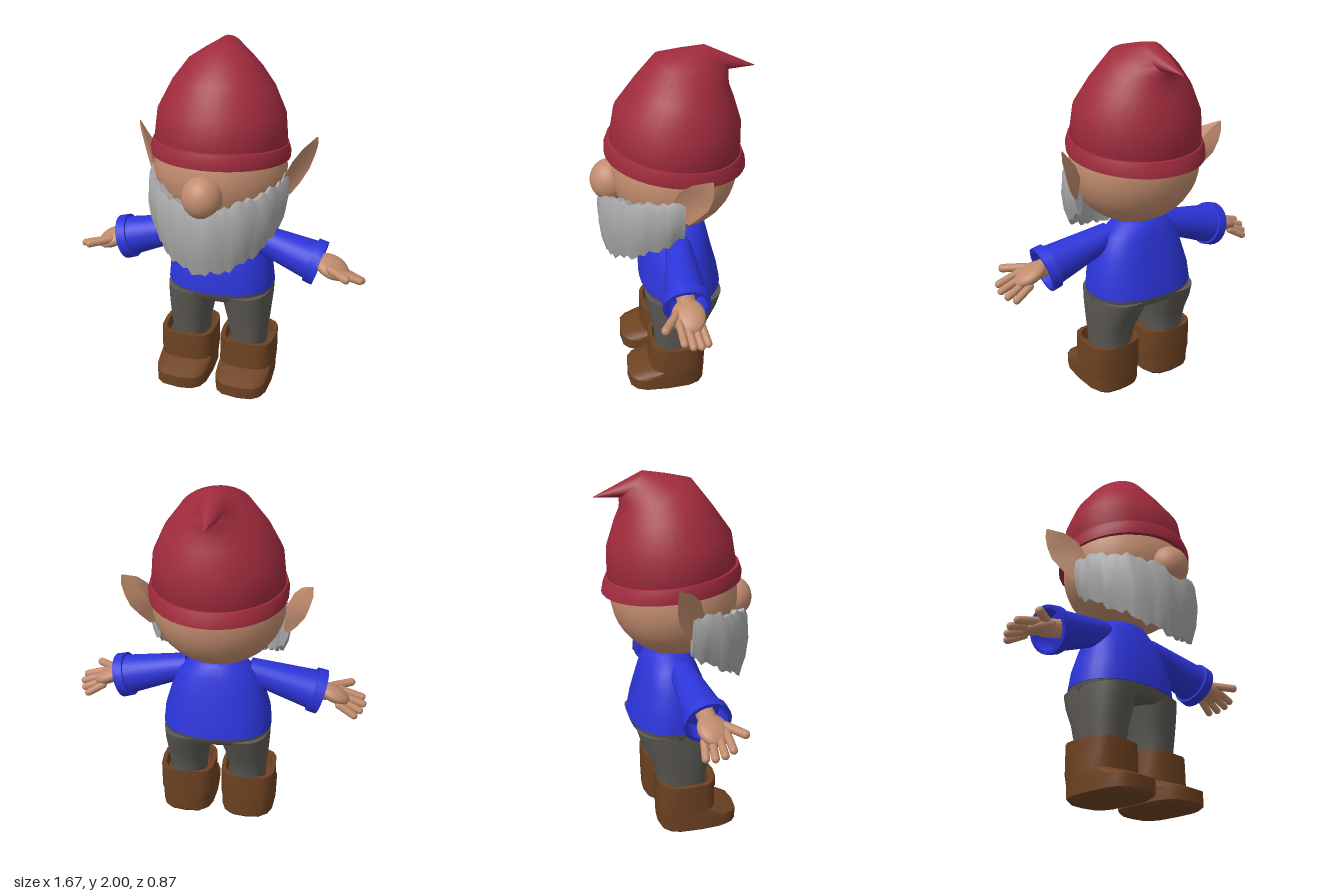
import * as THREE from 'three';
import { toCreasedNormals } from 'three/addons/utils/BufferGeometryUtils.js';

const V = (x, y, z) => new THREE.Vector3(x, y, z);
const mat = (name, color) => {
  const m = new THREE.MeshStandardMaterial({ color });
  m.name = name;
  return m;
};

// Oval ring between a front point and a back point; p < 1 makes it squarer
function ring(w, zf, yf, zb, yb, cx = 0, p = 1, n = 36) {
  const pts = [];
  const pow = (v) => Math.sign(v) * Math.pow(Math.abs(v), p);
  for (let i = 0; i < n; i++) {
    const a = (i / n) * Math.PI * 2;
    const s = pow(Math.sin(a)), k = (1 + pow(Math.cos(a))) / 2;
    pts.push(V(cx + s * w, yb + (yf - yb) * k, zb + (zf - zb) * k));
  }
  return pts;
}
const flat = (y, w, zf, zb, cx, p, n) => ring(w, zf, y, zb, y, cx, p, n);

// Skin a list of equal-length rings, capped at both ends; side -1 mirrors in x
function loft(rings, side = 1, crease = 0.75) {
  if (side < 0) rings = rings.map((r) => r.map((p) => V(-p.x, p.y, p.z)).reverse());
  const n = rings[0].length, last = (rings.length - 1) * n;
  const pts = rings.flat(), idx = [];
  for (let i = 0; i < rings.length - 1; i++) {
    for (let j = 0; j < n; j++) {
      const a = i * n + j, b = i * n + ((j + 1) % n);
      idx.push(a, b, b + n, a, b + n, a + n);
    }
  }
  const mid = (r) => r.reduce((s, p) => s.add(p), V(0, 0, 0)).divideScalar(n);
  const c = pts.length;
  const all = [...pts, mid(rings[0]), mid(rings[rings.length - 1])];
  for (let j = 0; j < n; j++) {
    const k = (j + 1) % n;
    idx.push(c, k, j, c + 1, last + j, last + k);
  }
  const g = new THREE.BufferGeometry().setFromPoints(all);
  g.setIndex(idx);
  return toCreasedNormals(g, crease);
}

export function createModel() {
  const red = mat('hatRed', 0xa02b3d);
  const skin = mat('skin', 0xc18c6e);
  const grey = mat('beardGrey', 0xa9a9a9);
  const blue = mat('shirtBlue', 0x2c34d8);
  const cloth = mat('trouserGrey', 0x5b5853);
  const leather = mat('bootBrown', 0x6d4221);

  const model = new THREE.Group();
  model.name = 'gnome';
  const body = new THREE.Group();
  body.name = 'body';
  body.position.x = -0.012;
  model.add(body);

  const add = (name, geo, m, parent = body) => {
    const mesh = new THREE.Mesh(geo, m);
    mesh.name = name;
    parent.add(mesh);
    return mesh;
  };
  const ball = (name, m, pos, rx, ry, rz, parent = body) => {
    const mesh = add(name, new THREE.SphereGeometry(1, 32, 20), m, parent);
    mesh.position.copy(pos);
    mesh.scale.set(rx, ry, rz);
    return mesh;
  };

  // Head and nose
  ball('head', skin, V(0, 1.335, -0.01), 0.365, 0.335, 0.345);
  ball('nose', skin, V(0, 1.28, 0.33), 0.107, 0.115, 0.108);

  // Hat: tilted rings that lean back into a folded tip
  add('hat', loft([
    ring(0.34, 0.31, 1.47, -0.35, 1.4),
    ring(0.36, 0.325, 1.515, -0.37, 1.44),
    ring(0.343, 0.296, 1.676, -0.368, 1.6),
    ring(0.275, 0.19, 1.82, -0.325, 1.735),
    ring(0.195, 0.085, 1.95, -0.3, 1.8),
    ring(0.135, -0.04, 1.978, -0.297, 1.835),
    ring(0.06, -0.17, 2.0, -0.3, 1.868),
    ring(0.002, -0.435, 1.877, -0.434, 1.874),
  ], 1, 1.0), red);
  add('hatBrim', loft([
    ring(0.33, 0.31, 1.46, -0.35, 1.385),
    ring(0.345, 0.325, 1.44, -0.37, 1.36),
    ring(0.376, 0.355, 1.437, -0.402, 1.357),
    ring(0.378, 0.355, 1.48, -0.395, 1.395),
    ring(0.367, 0.34, 1.52, -0.378, 1.435),
    ring(0.35, 0.315, 1.522, -0.365, 1.44),
  ]), red);

  // Beard: thick band around the jaw with ragged edges
  const strands = [];
  const steps = 44;
  for (let i = 0; i <= steps; i++) {
    const u = (i / steps) * 2 - 1, au = Math.abs(u), a = u * 1.6;
    const rag = 0.012 * Math.sin(i * 2.4) + 0.008 * Math.sin(i * 5.3);
    const top = 1.21 + 0.12 * Math.pow(au, 0.8) + rag;
    const low = 0.845 + 0.25 * Math.pow(au, 1.5) + 1.1 * rag;
    const wave = 1 + 0.012 * Math.sin(i * 1.1);
    const at = (k, t) => V(0.39 * k * Math.sin(a), low + (top - low) * t, 0.405 * k * Math.cos(a));
    strands.push([at(0.94, 1), at(0.985, 0.88), at(wave, 0.55), at(0.97 * wave, 0.25),
      at(0.91, 0), at(0.86, 0.02), at(0.84, 0.5), at(0.84, 0.97)]);
  }
  add('beard', loft(strands, 1, 0.9), grey);

  // Shirt torso
  add('shirt', loft([
    flat(0.62, 0.308, 0.185, -0.275, 0, 0.85),
    flat(0.72, 0.298, 0.175, -0.255, 0, 0.85),
    flat(0.84, 0.262, 0.145, -0.222, 0, 0.85),
    flat(0.95, 0.215, 0.1, -0.195, 0, 0.9),
    flat(1.02, 0.15, 0.07, -0.165),
    flat(1.04, 0.1, 0.04, -0.12),
  ]), blue);

  // Hips
  add('hips', loft([
    flat(0.55, 0.27, 0.14, -0.22, 0, 0.85),
    flat(0.58, 0.302, 0.172, -0.262, 0, 0.85),
    flat(0.63, 0.305, 0.18, -0.27, 0, 0.85),
  ], 1, 1.2), cloth);

  for (const s of [1, -1]) {
    const side = s > 0 ? 'left' : 'right';

    // Trouser leg
    add(side + 'Leg', loft([
      flat(0.2, 0.1, 0.12, -0.15, 0.177, 0.8),
      flat(0.32, 0.108, 0.127, -0.158, 0.177, 0.8),
      flat(0.42, 0.122, 0.142, -0.185, 0.172, 0.8),
      flat(0.52, 0.138, 0.16, -0.235, 0.163, 0.8),
      flat(0.6, 0.15, 0.172, -0.262, 0.152, 0.8),
    ], s, 1.2), cloth);

    // Boot: low toe, upright shaft and open top
    const b = (y, w, zf, zb) => flat(y, w, zf, zb, 0.18, 0.6, 16);
    add(side + 'Boot', loft([
      b(0, 0.135, 0.27, -0.14), b(0.02, 0.158, 0.293, -0.157),
      b(0.09, 0.16, 0.293, -0.16), b(0.12, 0.16, 0.22, -0.16),
      b(0.138, 0.16, 0.165, -0.16), b(0.3, 0.16, 0.16, -0.16),
      b(0.3, 0.135, 0.138, -0.142), b(0.23, 0.13, 0.13, -0.14),
    ], s, 0.6), leather);

    // Ear: cupped leaf from lobe to tip (front edge, back edge, dent)
    const ear = [
      [V(0.35, 1.19, 0.0), V(0.385, 1.19, -0.03), 0.003],
      [V(0.35, 1.25, 0.035), V(0.43, 1.25, -0.065), 0.02],
      [V(0.365, 1.32, 0.052), V(0.47, 1.32, -0.108), 0.035],
      [V(0.4, 1.4, 0.025), V(0.493, 1.39, -0.124), 0.03],
      [V(0.445, 1.46, -0.03), V(0.508, 1.45, -0.126), 0.015],
      [V(0.502, 1.503, -0.115), V(0.508, 1.5, -0.122), 0.001],
    ].map(([f, e, d]) => {
      const m = f.clone().lerp(e, 0.5);
      return [f, V(m.x - d * 0.6, m.y, m.z - d * 0.3), e, V(m.x - d * 1.4, m.y, m.z - d * 0.9)];
    });
    add(side + 'Ear', loft(ear, s), skin);

    // Sleeve with a turned, hollow cuff
    const arm = new THREE.Group();
    arm.name = side + 'Arm';
    body.add(arm);
    const from = V(0.17 * s, 0.935, -0.01), to = V(0.578 * s, 0.817, 0.013);
    const len = from.distanceTo(to);
    const dir = to.clone().sub(from).normalize();
    const c = (y, r) => flat(y, r, r, -r, 0, 1, 24);
    const sleeve = add(side + 'Sleeve', loft([
      c(0, 0.07), c(len - 0.055, 0.112), c(len - 0.055, 0.126), c(len, 0.128),
      c(len, 0.108), c(len - 0.1, 0.1),
    ]), blue, arm);
    sleeve.position.copy(from);
    sleeve.quaternion.setFromUnitVectors(V(0, 1, 0), dir);

    // Hand: flat palm, wrist, four fingers and a thumb
    const limb = (name, p, q, r) => {
      const a = V(p[0] * s, p[1], p[2]), e = V(q[0] * s, q[1], q[2]);
      const d = a.distanceTo(e);
      const m = add(name, new THREE.CapsuleGeometry(r, d - r, 5, 12), skin, arm);
      m.position.copy(a).lerp(e, 0.5);
      m.quaternion.setFromUnitVectors(V(0, 1, 0), e.sub(a).normalize());
    };
    const palm = ball(side + 'Palm', skin, V(0.645 * s, 0.81, 0.02), 0.1, 0.045, 0.088, arm);
    palm.rotation.set(0.2, 0, -0.42 * s);
    limb(side + 'Wrist', [0.47, 0.855, 0.013], [0.62, 0.815, 0.015], 0.05);
    const tips = [[0.825, 0.77, 0.07], [0.832, 0.75, 0.025], [0.815, 0.73, -0.02], [0.785, 0.717, -0.06]];
    tips.forEach((t, i) => limb(side + 'Finger' + (i + 1),
      [0.67, 0.812 - i * 0.012, 0.075 - i * 0.038], [t[0] - 0.01, t[1], t[2]], 0.021));
    limb(side + 'Thumb', [0.63, 0.825, 0.075], [0.75, 0.815, 0.16], 0.023);
  }
  return model;
}
